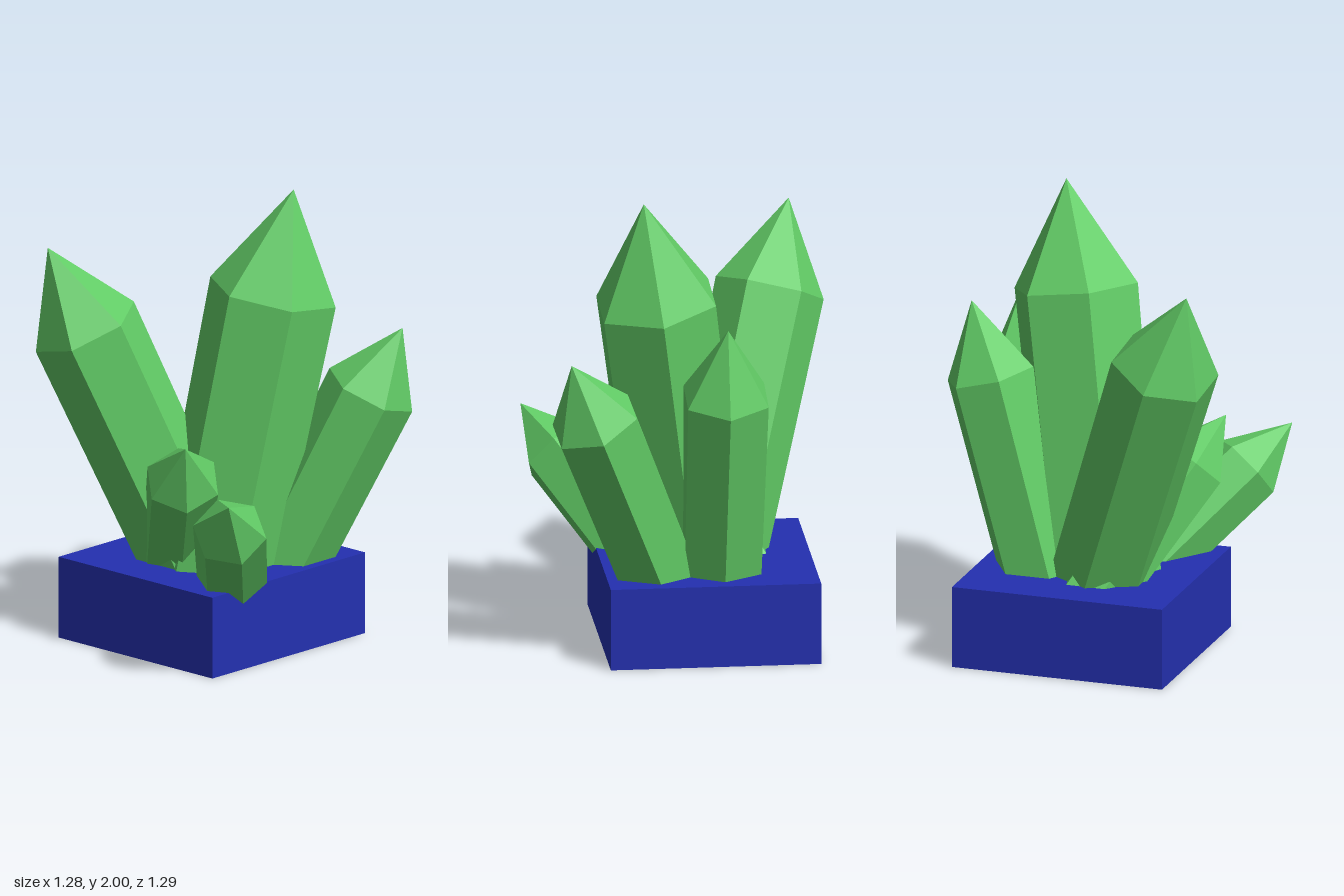
import * as THREE from 'three';

const green = new THREE.MeshStandardMaterial({ color: 0x62cc66, flatShading: true });
const blue = new THREE.MeshStandardMaterial({ color: 0x2430b0, flatShading: true });

const FOOT_Y = 0.16; // crystals end here, sunk inside the plinth

// Six-sided crystal: shoulder centre, tip, radius and the direction of its first edge
function crystal(name, shoulder, tip, radius, edge) {
  const centre = new THREE.Vector3(...shoulder);
  const axis = new THREE.Vector3(...tip).sub(centre);
  const tipLength = axis.length();
  axis.normalize();
  const bodyLength = (centre.y - FOOT_Y) / axis.y;

  const profile = [
    new THREE.Vector2(0, -bodyLength),
    new THREE.Vector2(radius * 0.94, -bodyLength),
    new THREE.Vector2(radius, 0),
    new THREE.Vector2(0, tipLength),
  ];
  const mesh = new THREE.Mesh(new THREE.LatheGeometry(profile, 6), green);
  mesh.name = name;

  // Local y runs along the crystal, local z points to the first edge
  const z = new THREE.Vector3(...edge).projectOnPlane(axis).normalize();
  const x = new THREE.Vector3().crossVectors(axis, z);
  mesh.quaternion.setFromRotationMatrix(new THREE.Matrix4().makeBasis(x, axis, z));
  mesh.position.copy(centre);
  return mesh;
}

export function createModel() {
  const group = new THREE.Group();
  group.name = 'crystalCluster';

  // Square plinth
  const plinth = new THREE.Mesh(new THREE.BoxGeometry(0.905, 0.36, 0.95), blue);
  plinth.name = 'plinth';
  plinth.position.set(-0.083, 0.18, -0.015);
  group.add(plinth);

  // Large and small crystals fanning out of the plinth
  group.add(
    crystal('mainCrystal', [0.14, 1.545, -0.16], [0.2, 2, -0.225], 0.28, [0, 0, 1]),
    crystal('frontRightCrystal', [-0.41, 1.405, 0.43], [-0.505, 1.765, 0.56], 0.237, [1, 0, 0]),
    crystal('backRightCrystal', [-0.13, 1.2, -0.455], [-0.13, 1.52, -0.54], 0.2, [0, 0, 1]),
    crystal('backLeftCrystal', [0.435, 1.105, -0.457], [0.543, 1.385, -0.54], 0.2, [0, 0, 1]),
    crystal('smallFrontCrystal', [0.11, 0.81, 0.37], [0.235, 1.0, 0.485], 0.165, [0.07, 0.1, -0.14]),
    crystal('smallFrontLeftCrystal', [0.5, 0.685, 0.49], [0.64, 0.855, 0.645], 0.16, [0.03, 0.1, -0.12]),
  );
  return group;
}
